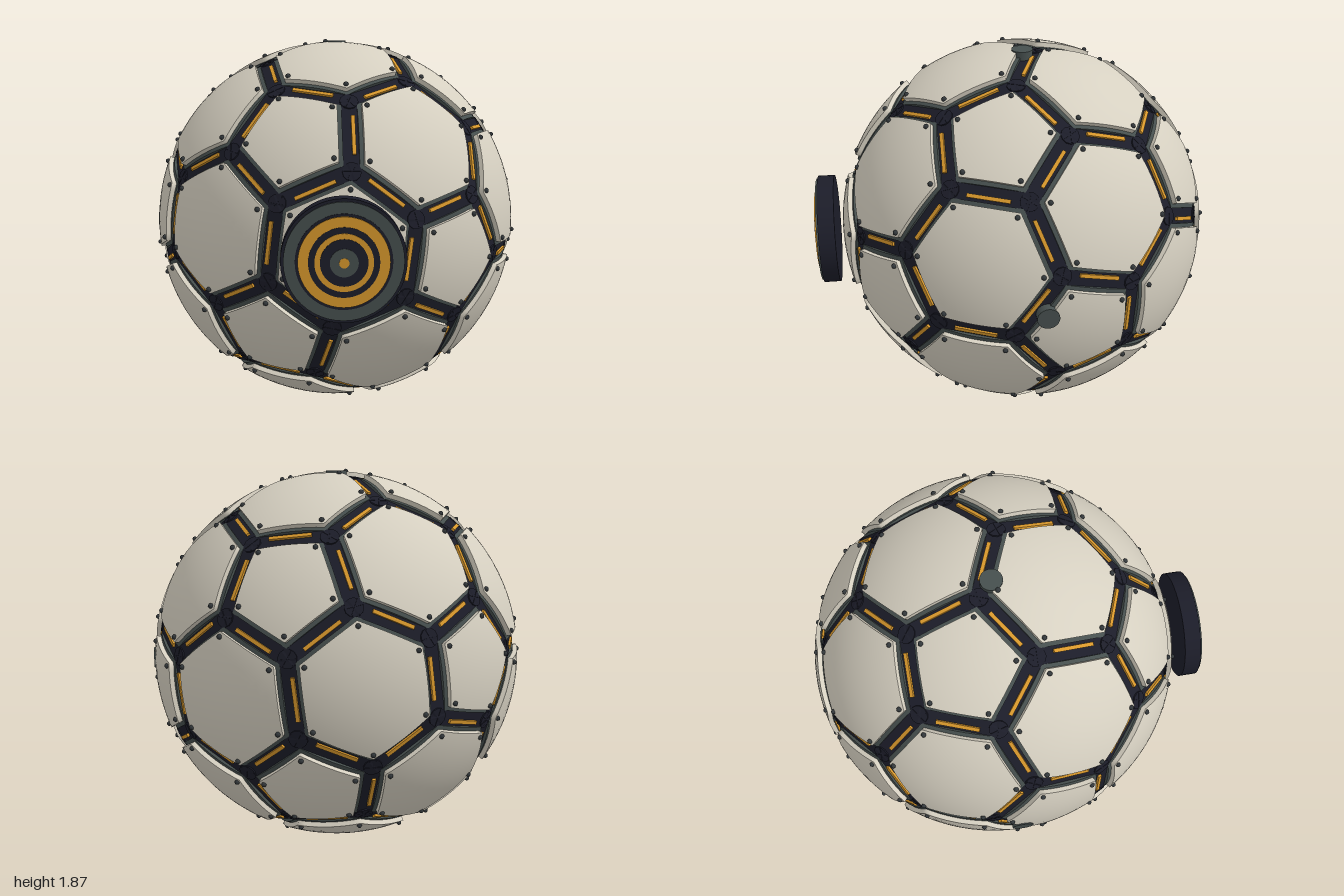
import * as THREE from 'three';
import { mergeGeometries } from 'three/addons/utils/BufferGeometryUtils.js';

const mat = (name, color) => {
  const m = new THREE.MeshStandardMaterial({ color });
  m.name = name;
  return m;
};
const V = (x, y, z) => new THREE.Vector3(x, y, z);

const SHELL = 0.925;  // outer radius of the plates
const FRAME = 0.902;  // radius of the plate frames
const NODE = 0.9;     // radius at which the struts meet

// Twelve fivefold axes, with a threefold axis facing the front
function fivefoldAxes() {
  const axes = [];
  for (const [polar, turn] of [[37.377, -7], [79.188, 53]]) {
    for (let k = 0; k < 3; k++) {
      const p = polar * Math.PI / 180, a = (turn + 120 * k) * Math.PI / 180;
      const v = V(Math.sin(p) * Math.cos(a), Math.sin(p) * Math.sin(a), Math.cos(p));
      axes.push(v, v.clone().negate());
    }
  }
  return axes;
}

// Sort corners counter-clockwise as seen from outside
function sortAround(corners) {
  const c = corners.reduce((s, v) => s.add(v), V(0, 0, 0)).divideScalar(corners.length);
  const n = c.clone().normalize();
  const u = corners[0].clone().sub(c).normalize();
  const w = n.clone().cross(u);
  const angle = v => Math.atan2(v.clone().sub(c).dot(w), v.clone().sub(c).dot(u));
  return { c, corners: [...corners].sort((a, b) => angle(a) - angle(b)) };
}

// Corners moved in so that every side shifts by the given distance
function insetCorners({ c, corners }, inset) {
  const apothem = corners[0].clone().add(corners[1]).multiplyScalar(0.5).distanceTo(c);
  return corners.map(v => v.clone().lerp(c, inset / apothem));
}

// Spherical polygon with a skirt down to an inner radius
function plateGeometry(cell, inset, outer, inner) {
  const RINGS = 6, STEPS = 8;
  const rim = [];
  const pts = insetCorners(cell, inset);
  pts.forEach((p, i) => {
    for (let s = 0; s < STEPS; s++) rim.push(p.clone().lerp(pts[(i + 1) % pts.length], s / STEPS));
  });
  const n = rim.length;
  const build = (rows, smooth) => {
    const pos = [], idx = [];
    rows.forEach(row => row.forEach(p => pos.push(p.x, p.y, p.z)));
    for (let r = 0; r + 1 < rows.length; r++) {
      for (let i = 0; i < n; i++) {
        const j = (i + 1) % n, a = r * n + i, b = r * n + j;
        idx.push(a, a + n, b + n, a, b + n, b);
      }
    }
    const g = new THREE.BufferGeometry();
    g.setAttribute('position', new THREE.Float32BufferAttribute(pos, 3));
    g.setIndex(idx);
    if (smooth) {
      const nor = rows.flat().flatMap(p => p.clone().normalize().toArray());
      g.setAttribute('normal', new THREE.Float32BufferAttribute(nor, 3));
    } else g.computeVertexNormals();
    return g;
  };
  const dome = [];
  for (let r = 0; r <= RINGS; r++) {
    dome.push(rim.map(p => cell.c.clone().lerp(p, r / RINGS).setLength(outer)));
  }
  const skirt = [outer, inner].map(r => rim.map(p => p.clone().setLength(r)));
  return mergeGeometries([build(dome, true), build(skirt, false)]);
}

export function createModel() {
  const cream = mat('plate cream', 0xd6d0c1);
  const navy = mat('strut navy', 0x1c1d29);
  const grey = mat('frame grey', 0x464f4e);
  const dark = mat('rivet grey', 0x33383b);
  const amber = mat('amber', 0xd8982c);

  const model = new THREE.Group();
  const ball = new THREE.Group();
  ball.name = 'ball';
  ball.position.set(0, 0.93, -0.07);
  model.add(ball);
  const add = (parent, name, geometry, material) => {
    const m = new THREE.Mesh(geometry, material);
    m.name = name;
    parent.add(m);
    return m;
  };

  // Cells: twelve pentagons and twenty hexagons
  const axes = fivefoldAxes();
  const near = (a, b) => a !== b && a.dot(b) > 0.3;
  const node = (a, b) => a.clone().multiplyScalar(2).add(b).normalize();
  const cells = axes.map(a => sortAround(axes.filter(b => near(a, b)).map(b => node(a, b))));
  const nodes = cells.flatMap(cell => cell.corners);
  axes.forEach((a, i) => axes.forEach((b, j) => axes.forEach((c, k) => {
    if (i < j && j < k && near(a, b) && near(b, c) && near(a, c)) {
      cells.push(sortAround([node(a, b), node(b, a), node(b, c), node(c, b), node(c, a), node(a, c)]));
    }
  })));

  add(ball, 'core', new THREE.SphereGeometry(0.86, 48, 32), navy);

  // Plates, their frames and a rivet in each corner
  const rivet = new THREE.SphereGeometry(0.012, 10, 8);
  for (const cell of cells) {
    add(ball, 'frame', plateGeometry(cell, 0.042, FRAME, 0.85), grey);
    add(ball, 'plate', plateGeometry(cell, 0.064, SHELL, 0.89), cream);
    for (const p of insetCorners(cell, 0.088)) {
      add(ball, 'rivet', rivet, dark).position.copy(p.setLength(SHELL + 0.002));
    }
  }

  // Struts along the cell edges, each with an amber light strip
  const span = NODE / 2.478;
  const strut = new THREE.BoxGeometry(span, 0.05, 0.076);
  const strip = new THREE.BoxGeometry(0.2, 0.014, 0.018);
  nodes.forEach((a, i) => nodes.forEach((b, j) => {
    if (i >= j || a.distanceTo(b) > 0.45) return;
    const out = a.clone().add(b).normalize();
    const along = b.clone().sub(a).normalize();
    const edge = new THREE.Group();
    edge.name = 'edge';
    edge.quaternion.setFromRotationMatrix(
      new THREE.Matrix4().makeBasis(along, out, along.clone().cross(out)));
    edge.position.copy(a).add(b).multiplyScalar(NODE / 2);
    add(edge, 'strut', strut, navy).position.y = -0.02;
    add(edge, 'lightStrip', strip, amber).position.set(0, 0.009, 0.014);
    ball.add(edge);
  }));

  // Joints where three struts meet
  const joint = new THREE.CylinderGeometry(0.044, 0.044, 0.05, 12);
  for (const p of nodes) {
    const m = add(ball, 'joint', joint, navy);
    m.quaternion.setFromUnitVectors(V(0, 1, 0), p);
    m.position.copy(p).multiplyScalar(NODE - 0.022);
  }

  // Round ports on the sides, top and bottom
  for (const d of [V(1, 0, 0), V(-1, 0, 0), V(0, 1, 0), V(0, -1, 0)]) {
    const m = add(ball, 'port', new THREE.CylinderGeometry(0.052, 0.052, 0.05, 24), grey);
    m.quaternion.setFromUnitVectors(V(0, 1, 0), d);
    m.position.copy(d).multiplyScalar(0.904);
  }

  // Front hub: stacked discs and rings
  const hub = new THREE.Group();
  hub.name = 'hub';
  hub.position.set(0, 0.93, 0);
  model.add(hub);
  const disc = (name, r, z0, z1, material) => {
    const g = new THREE.CylinderGeometry(r, r, z1 - z0, 48).rotateX(Math.PI / 2);
    add(hub, name, g, material).position.z = (z0 + z1) / 2;
  };
  disc('hubBody', 0.275, 0.883, 0.965, navy);
  disc('hubRim', 0.262, 0.96, 0.974, grey);
  disc('hubFace', 0.212, 0.97, 0.978, navy);
  disc('outerRing', 0.2, 0.975, 0.985, amber);
  disc('outerRingInset', 0.155, 0.98, 0.988, navy);
  disc('innerRing', 0.128, 0.985, 0.991, amber);
  disc('innerRingInset', 0.104, 0.988, 0.994, navy);
  disc('hubCap', 0.062, 0.99, 0.997, grey);
  disc('hubLight', 0.022, 0.995, 1.0, amber);

  return model;
}
